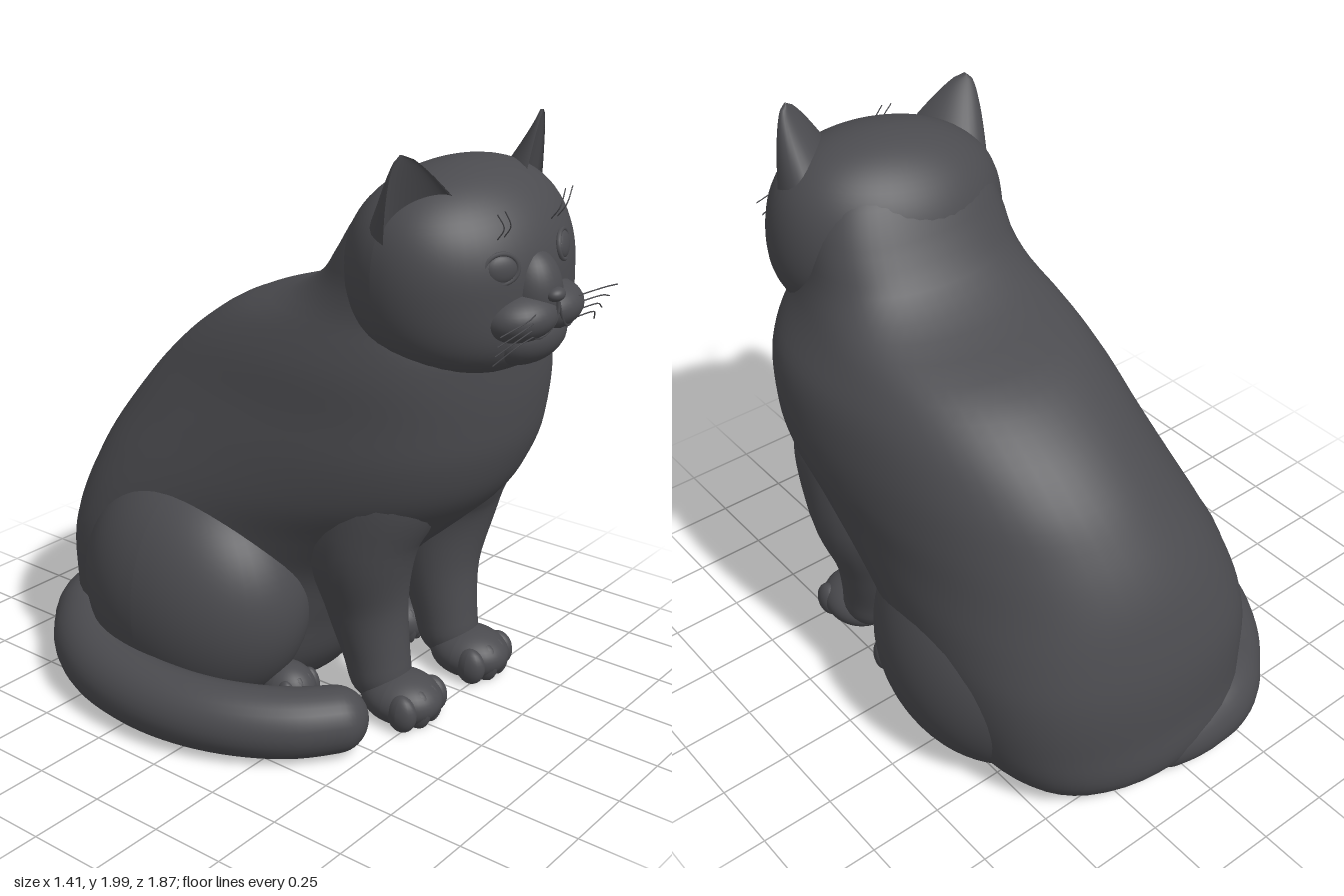
import * as THREE from 'three';

const fur = new THREE.MeshStandardMaterial({ color: 0x4b4b4f });
fur.name = 'charcoal fur';
const V = (p) => new THREE.Vector3(...p);

function add(parent, name, geometry) {
  const mesh = new THREE.Mesh(geometry, fur);
  mesh.name = name;
  parent.add(mesh);
  return mesh;
}

// Closed surface through rings; at(t, angle) gives a point, rings run upward or forward
function loft(rings, sides, at) {
  const pos = [], index = [];
  for (let i = 0; i <= rings; i++)
    for (let j = 0; j < sides; j++) pos.push(...at(i / rings, (j / sides) * Math.PI * 2, i));
  for (let i = 0; i < rings; i++)
    for (let j = 0; j < sides; j++) {
      const k = (j + 1) % sides;
      const a = i * sides + j, b = i * sides + k, c = b + sides, d = a + sides;
      index.push(a, b, c, a, c, d);
    }
  const g = new THREE.BufferGeometry();
  g.setAttribute('position', new THREE.Float32BufferAttribute(pos, 3));
  g.setIndex(index);
  g.computeVertexNormals();
  return g;
}

// Round-ended limb through [x, y, z, radius] stations
function limb(stations, ref, rings = 40, sides = 28) {
  const curve = new THREE.CatmullRomCurve3(stations.map((s) => V(s.slice(0, 3))));
  const radius = new THREE.CatmullRomCurve3(stations.map((s) => new THREE.Vector3(s[3], 0, 0)));
  const length = curve.getLength();
  return loft(rings, sides, (t, a) => {
    const u = (1 - Math.cos(Math.PI * t)) / 2;
    const k = curve.getUtoTmapping(u);
    const p = curve.getPoint(k), T = curve.getTangent(k);
    const B = T.clone().cross(V(ref)).normalize(), N = B.clone().cross(T);
    let r = radius.getPoint(k).x;
    const q = Math.min(1, (Math.min(u, 1 - u) * length) / r);
    r *= Math.sqrt(Math.max(0, 1 - (1 - q) ** 2));
    p.addScaledVector(N, r * Math.cos(a)).addScaledVector(B, r * Math.sin(a));
    return [p.x, Math.max(0.008, p.y), p.z];
  });
}

// Ellipsoid, optionally flattened where it meets the floor
function blob(center, radii, floor = -9, seg = 32) {
  const g = new THREE.SphereGeometry(1, seg, seg * 0.75);
  g.scale(...radii).translate(...center);
  const p = g.attributes.position;
  if (floor > -9) {
    for (let i = 0; i < p.count; i++) p.setY(i, Math.max(floor, p.getY(i)));
    g.computeVertexNormals();
  }
  return g;
}

function strand(points, r) {
  return new THREE.TubeGeometry(new THREE.CatmullRomCurve3(points.map(V)), 10, r, 5);
}

// Trunk and neck, the neck running up into the back of the head
function makeBody() {
  // height, back z, front z, rear centre x, front centre x, half width, front fullness
  const rows = [
    [0.02, -0.84, 0.04, 0.07, 0.10, 0.40, -0.1],
    [0.12, -0.91, 0.12, 0.07, 0.12, 0.46, -0.1],
    [0.30, -0.915, 0.20, 0.07, 0.15, 0.505, -0.12],
    [0.50, -0.905, 0.32, 0.07, 0.18, 0.515, -0.15],
    [0.65, -0.872, 0.48, 0.08, 0.19, 0.51, -0.12],
    [0.80, -0.82, 0.63, 0.10, 0.19, 0.505, -0.03],
    [0.95, -0.735, 0.70, 0.13, 0.205, 0.5, 0.06],
    [1.10, -0.62, 0.725, 0.16, 0.21, 0.482, 0.1],
    [1.25, -0.45, 0.73, 0.175, 0.20, 0.455, 0.1],
    [1.35, -0.28, 0.72, 0.18, 0.18, 0.415, 0.06],
    [1.42, -0.07, 0.68, 0.18, 0.17, 0.385, 0],
    [1.50, 0.07, 0.64, 0.17, 0.16, 0.36, 0],
    [1.60, 0.155, 0.62, 0.16, 0.15, 0.345, 0],
    [1.70, 0.22, 0.62, 0.15, 0.15, 0.315, 0],
    [1.78, 0.285, 0.62, 0.15, 0.15, 0.26, 0],
    [1.83, 0.36, 0.60, 0.15, 0.15, 0.19, 0],
  ];
  const section = new THREE.CubicInterpolant(rows.map((r) => r[0]), rows.flatMap((r) => r.slice(1)), 6);
  const n = 60;
  return loft(n, 56, (t, a, i) => {
    const y = 0.02 + 1.81 * Math.min(1, Math.max(0, (i - 1) / (n - 2)));
    const [zb, zf, xr, xf, w, full] = section.evaluate(y);
    const size = i === 0 || i === n ? 0.001 : 1;
    const c = Math.cos(a), s = Math.sin(a);
    const x = xr + ((xf - xr) * (c + 1)) / 2 + size * w * s * (1 + 0.2 * c * c) * (1 + full * c);
    return [x, y, (zb + zf) / 2 + (size * c * (zf - zb)) / 2];
  });
}

// Round skull, its jaw brought forward over the chest
function makeSkull() {
  const g = new THREE.SphereGeometry(1, 56, 40);
  const p = g.attributes.position;
  for (let i = 0; i < p.count; i++) {
    const x = p.getX(i), y = p.getY(i), z = p.getZ(i);
    p.setXYZ(i, 0.4 * x * (1 + 0.25 * y * y), y * (y > 0 ? 0.33 : 0.32),
      z * (z > 0 ? 0.325 * (1 + (y < 0 ? 0.6 : 0) * y * y) : 0.32));
  }
  g.computeVertexNormals();
  return g;
}

// Pointed ear with a hollow front, turned slightly outward
function makeEar(side) {
  return loft(20, 32, (t, a) => {
    const w = t === 1 ? 0.001 : 0.16 * Math.pow(1 - t, 0.68) + 0.006;
    const d = 0.23 * Math.pow(1 - t, 1.2) + 0.012;
    const c = Math.cos(a), s = Math.sin(a);
    const hollow = c > 0 ? -0.35 * c : c;
    return [side * (0.2 + 0.12 * t) + w * s, 0.08 + 0.342 * t,
      0.1 - 0.02 * t + d * hollow - 0.45 * side * w * s];
  });
}

function makeHead() {
  const head = new THREE.Group();
  head.name = 'head';
  add(head, 'skull', makeSkull());
  add(head, 'noseBridge', blob([0, -0.035, 0.27], [0.1, 0.14, 0.105]));
  add(head, 'nose', blob([0, -0.025, 0.37], [0.034, 0.022, 0.028]));
  add(head, 'chin', blob([0, -0.165, 0.24], [0.16, 0.1, 0.125]));
  for (const s of [-1, 1]) {
    add(head, 'ear', makeEar(s));
    add(head, 'muzzlePad', blob([s * 0.06, -0.09, 0.27], [0.135, 0.08, 0.125]));
    // Eye with raised lid rim
    const eye = new THREE.Group();
    eye.name = 'eye';
    eye.position.set(s * 0.145, 0.075, 0.286);
    eye.rotation.set(-0.15, s * 0.42, s * 0.15);
    add(eye, 'eyeball', blob([0, 0, 0], [0.052, 0.042, 0.018], -9, 20));
    add(eye, 'eyelid', new THREE.TorusGeometry(0.052, 0.009, 8, 28)).scale.set(1.05, 0.85, 1);
    head.add(eye);
    add(head, 'mouthLine', strand([[0, -0.045, 0.382], [s * 0.012, -0.095, 0.383],
      [s * 0.06, -0.14, 0.368], [s * 0.12, -0.125, 0.352]], 0.006));
    for (let i = 0; i < 4; i++) {
      const y = -0.06 - i * 0.022;
      add(head, 'whisker', strand([[s * 0.09, y, 0.37], [s * 0.18, y + 0.012 - i * 0.006, 0.41 - i * 0.012],
        [s * (0.28 - i * 0.012), y - 0.01 - i * 0.016, 0.39 - i * 0.02]], 0.0022));
    }
    for (let i = 0; i < 2; i++)
      add(head, 'browWhisker', strand([[s * (0.11 + i * 0.03), 0.16, 0.27],
        [s * (0.115 + i * 0.03), 0.2, 0.3], [s * (0.14 + i * 0.035), 0.25, 0.3]], 0.002));
  }
  head.position.set(0.15, 1.55, 0.5);
  head.rotation.set(0, -0.12, 0.09);
  return head;
}

// Foot with four toes, front edge facing +z
function addPaw(parent, name, x, z, r) {
  const paw = new THREE.Group();
  paw.name = name;
  add(paw, 'pad', blob([x, 0.078, z], [r, 0.088, r * 1.15], 0.008));
  for (let i = 0; i < 4; i++) {
    const k = i - 1.5, inner = 1 - Math.abs(k) / 1.5;
    add(paw, 'toe', blob([x + k * r * 0.47, 0.07, z + r * (0.5 + 0.22 * inner)],
      [r * 0.32, 0.065 + 0.012 * inner, r * 0.44], 0.008, 20));
  }
  parent.add(paw);
}

export function createModel() {
  const cat = new THREE.Group();
  cat.name = 'sittingCat';
  add(cat, 'body', makeBody());
  cat.add(makeHead());

  // Front legs, the shoulder running up into the chest
  for (const [x, s] of [[0, -1], [0.41, 1]]) {
    add(cat, 'frontLeg', limb([
      [x - s * 0.03, 1.14, 0.3, 0.19], [x - s * 0.005, 0.88, 0.315, 0.24], [x + s * 0.035, 0.64, 0.28, 0.195],
      [x + s * 0.01, 0.4, 0.285, 0.142], [x, 0.2, 0.325, 0.112], [x, 0.04, 0.36, 0.1],
    ], [0, 0, 1]));
    addPaw(cat, 'frontPaw', x, 0.43, 0.125);
  }

  // Hind legs
  for (const [x, foot] of [[-0.235, -0.19], [0.375, 0.45]]) {
    add(cat, 'thigh', blob([x, 0.37, -0.275], [0.325, 0.415, 0.435], 0.05, 48));
    add(cat, 'hindFoot', limb([[foot, 0.06, -0.35, 0.07], [foot, 0.07, -0.1, 0.08], [foot, 0.08, 0.14, 0.085]], [0, 1, 0]));
    addPaw(cat, 'hindPaw', foot, 0.09, 0.09);
  }

  // Tail curling round the right side
  add(cat, 'tail', limb([
    [0.15, 0.15, -0.78, 0.12], [-0.12, 0.13, -0.805, 0.125], [-0.36, 0.125, -0.69, 0.125],
    [-0.53, 0.125, -0.46, 0.122], [-0.588, 0.125, -0.18, 0.12], [-0.55, 0.125, 0.08, 0.118],
    [-0.43, 0.12, 0.29, 0.115], [-0.23, 0.12, 0.46, 0.105],
  ], [0, 1, 0], 70));
  return cat;
}
